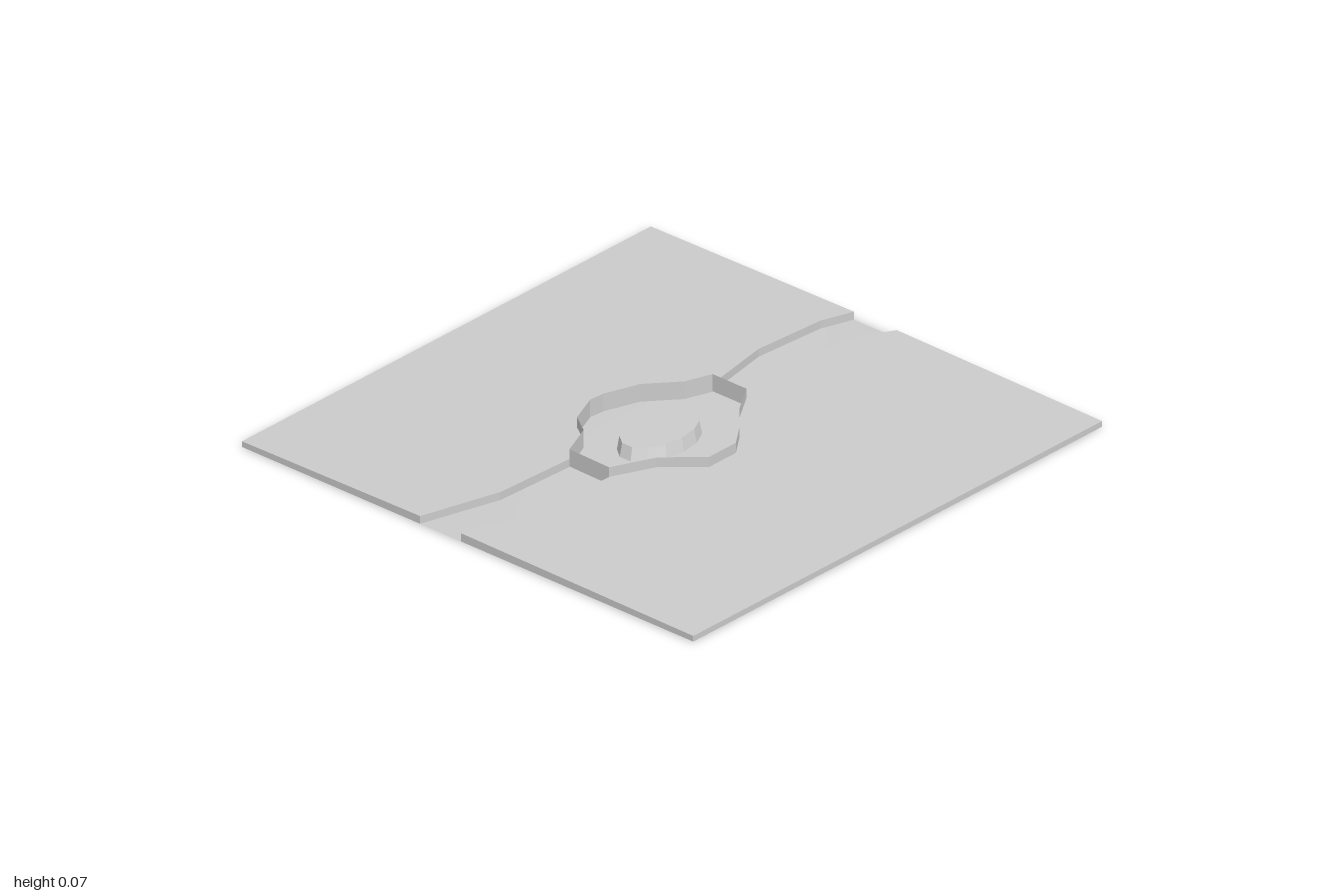
import * as THREE from 'three';

const material = new THREE.MeshStandardMaterial({
  color: 0xcccccc, flatShading: true, side: THREE.DoubleSide,
});

// Bank lines as [x, z], running from the back edge to the front edge
const leftBank = [[-0.1, -1], [-0.14, -0.88], [-0.16, -0.6], [-0.11, -0.32], [-0.145, -0.22],
  [-0.24, -0.11], [-0.285, 0.02], [-0.29, 0.08], [-0.24, 0.2], [-0.165, 0.25], [-0.11, 0.38],
  [-0.125, 0.7], [-0.21, 1]];
const rightBank = [[0.09, -1], [0.02, -0.87], [0, -0.6], [0.04, -0.32], [0.11, -0.21],
  [0.2, -0.11], [0.265, -0.02], [0.265, 0.11], [0.14, 0.23], [0.07, 0.385], [0.06, 0.7],
  [-0.03, 1]];

// The bed runs on under the land on both sides
const bedLeft = [[-0.24, -1], [-0.22, -0.46], [-0.28, -0.18], [-0.45, 0.07], [-0.22, 0.42], [-0.22, 1]];
const bedRight = [[0.1, -1], [0.26, -0.51], [0.22, -0.2], [0.43, 0.01], [0.35, 0.38], [0.25, 0.54], [0.14, 1]];

const BASE = 0.003;
const BED = 0.005;
const landHeight = (x) => 0.034 - 0.01 * Math.abs(x);

// Horizontal sheet inside an outline, lifted by a height rule
function sheet(outline, height) {
  const shape = new THREE.Shape(outline.map(([x, z]) => new THREE.Vector2(x, -z)));
  const geometry = new THREE.ShapeGeometry(shape).rotateX(-Math.PI / 2);
  const p = geometry.attributes.position;
  for (let i = 0; i < p.count; i++) p.setY(i, height(p.getX(i)));
  geometry.computeVertexNormals();
  return geometry;
}

// Closed band between a lower and an upper loop of [x, y, z] points
function band(lower, upper) {
  const n = lower.length;
  const index = [];
  for (let i = 0; i < n; i++) {
    const j = (i + 1) % n;
    index.push(i, j, n + j, i, n + j, n + i);
  }
  const geometry = new THREE.BufferGeometry();
  geometry.setAttribute('position', new THREE.Float32BufferAttribute([...lower, ...upper].flat(), 3));
  geometry.setIndex(index);
  geometry.computeVertexNormals();
  return geometry;
}

const lift = (outline, height) => outline.map(([x, z]) => [x, height(x), z]);

function ellipse(cx, cz, rx, rz, sides) {
  return Array.from({ length: sides }, (_, i) => {
    const a = -(i / sides) * Math.PI * 2;
    return [cx + rx * Math.cos(a), cz + rz * Math.sin(a)];
  });
}

export function createModel() {
  const model = new THREE.Group();
  model.name = 'riverTerrain';
  const add = (name, geometry, parent = model) => {
    const mesh = new THREE.Mesh(geometry, material);
    mesh.name = name;
    parent.add(mesh);
  };

  // Land on each side of the river: gently sloping top with a skirt
  const lands = {
    rightLand: [[-1, 1], ...[...leftBank].reverse(), [-1, -1]],
    leftLand: [...rightBank, [1, 1], [1, -1]],
  };
  for (const [name, outline] of Object.entries(lands)) {
    const land = new THREE.Group();
    land.name = name;
    add(name + 'Top', sheet(outline, landHeight), land);
    add(name + 'Skirt', band(lift(outline, () => BASE), lift(outline, landHeight)), land);
    model.add(land);
  }

  // River bed, dipping towards its outer edges
  const bed = [...bedLeft, ...[...bedRight].reverse()];
  add('riverBed', sheet(bed, (x) => Math.max(0, BED - 0.012 * Math.abs(x))));

  // Thin wall around the wide pool, crossing the river at both ends
  const inPool = ([, z]) => z > -0.4 && z < 0.5;
  const pool = [...leftBank.filter(inPool), ...rightBank.filter(inPool).reverse()];
  add('poolWall', band(lift(pool, () => BED), lift(pool, () => 0.069)));

  // Island with leaning sides
  const top = ellipse(-0.017, 0.043, 0.1, 0.162, 14);
  const foot = ellipse(-0.01, 0.05, 0.108, 0.172, 14);
  add('islandTop', sheet(top, () => 0.047));
  add('islandSide', band(lift(foot, () => BED - 0.002), lift(top, () => 0.047)));

  return model;
}
